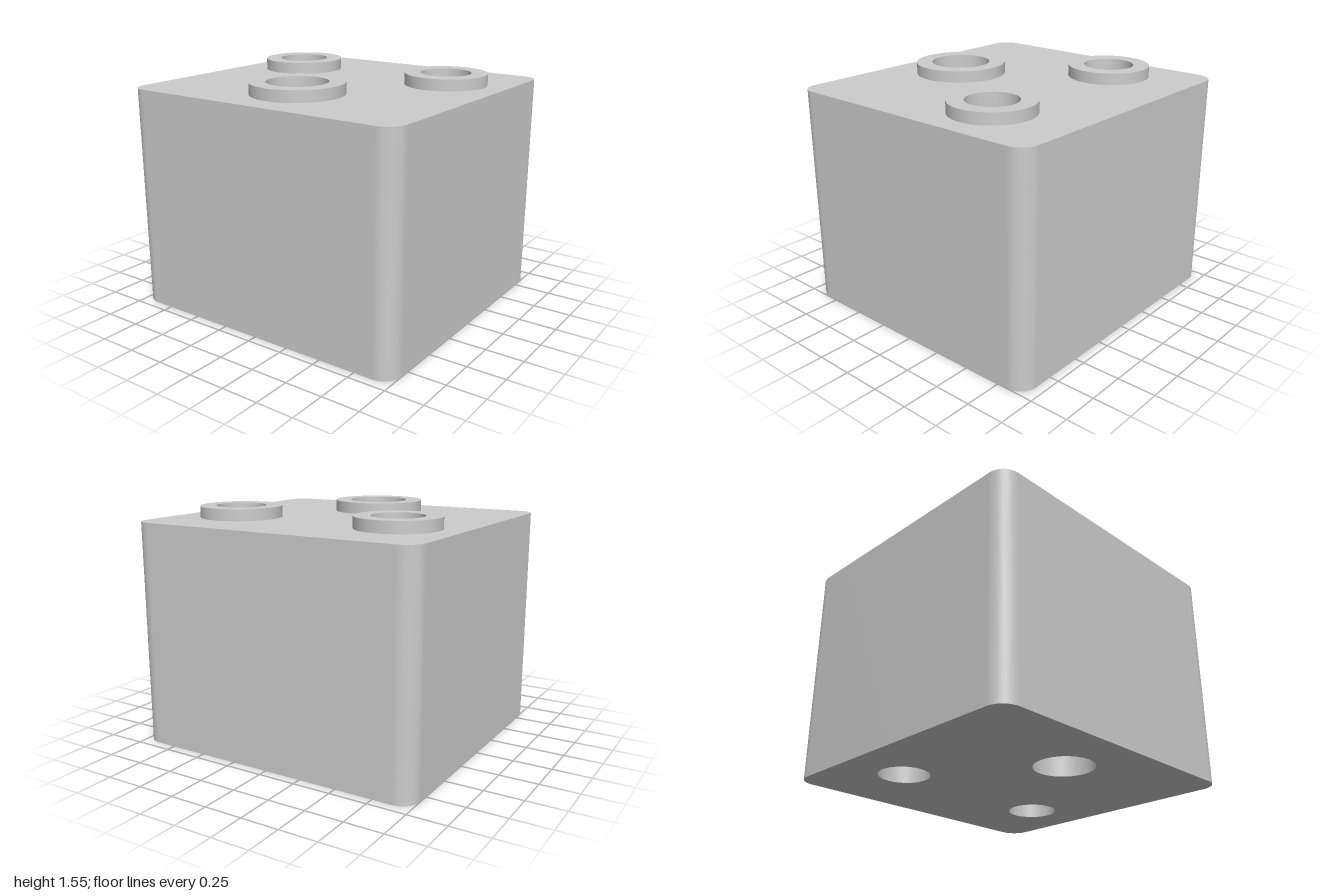
import * as THREE from 'three';
import { toCreasedNormals } from 'three/addons/utils/BufferGeometryUtils.js';

const HALF_X = 1, HALF_Z = 0.94, CORNER = 0.12;
const BODY_TOP = 1.473, COLLAR_TOP = 1.549;

// Three vertical bores, each ringed by a raised collar
const bores = [
  { name: 'frontCollar', x: 0, z: 0.47, hole: 0.196, outer: 0.302 },
  { name: 'backLeftCollar', x: 0.588, z: -0.354, hole: 0.166, outer: 0.272 },
  { name: 'backRightCollar', x: -0.588, z: -0.354, hole: 0.166, outer: 0.272 },
];

// Rectangle with rounded corners, drawn counter-clockwise
function roundedRect(a, b, r) {
  const s = new THREE.Shape();
  s.absarc(a - r, b - r, r, 0, Math.PI / 2);
  s.absarc(-a + r, b - r, r, Math.PI / 2, Math.PI);
  s.absarc(-a + r, -b + r, r, Math.PI, Math.PI * 1.5);
  s.absarc(a - r, -b + r, r, Math.PI * 1.5, Math.PI * 2);
  s.closePath();
  return s;
}

export function createModel() {
  const group = new THREE.Group();
  group.name = 'boredBlock';
  const grey = new THREE.MeshStandardMaterial({ color: 0xcccccc });
  grey.name = 'light grey';

  // Block with the bores running right through
  const outline = roundedRect(HALF_X, HALF_Z, CORNER);
  for (const b of bores) {
    outline.holes.push(new THREE.Path().absarc(b.x, -b.z, b.hole, 0, Math.PI * 2, true));
  }
  const blockGeometry = new THREE.ExtrudeGeometry(outline, {
    depth: BODY_TOP, bevelEnabled: false, curveSegments: 32,
  });
  blockGeometry.rotateX(-Math.PI / 2);
  const block = new THREE.Mesh(toCreasedNormals(blockGeometry, 0.6), grey);
  block.name = 'block';
  group.add(block);

  // Collars: outer wall, flat rim and inner wall
  for (const b of bores) {
    const profile = [
      new THREE.Vector2(b.outer, BODY_TOP),
      new THREE.Vector2(b.outer, COLLAR_TOP),
      new THREE.Vector2(b.hole, COLLAR_TOP),
      new THREE.Vector2(b.hole, BODY_TOP),
    ];
    const collar = new THREE.Mesh(toCreasedNormals(new THREE.LatheGeometry(profile, 64), 0.6), grey);
    collar.name = b.name;
    collar.position.set(b.x, 0, b.z);
    group.add(collar);
  }
  return group;
}
